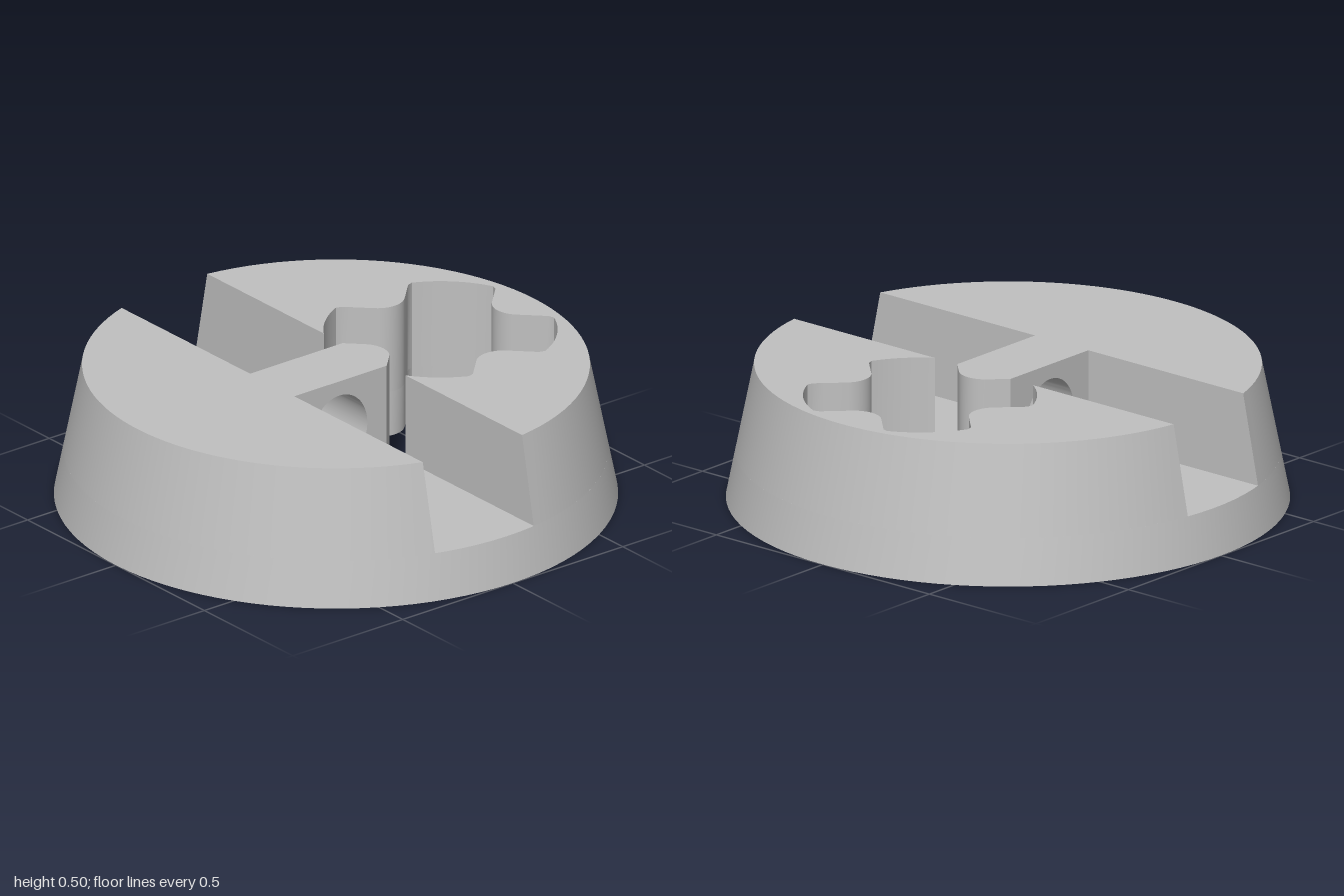
import * as THREE from 'three';
import { toCreasedNormals } from 'three/addons/utils/BufferGeometryUtils.js';

const HEIGHT = 0.5, FLOOR = 0.17;          // top face and slot floor
const SLOT_BACK = -0.13, SLOT_FRONT = 0.29; // slot walls in z
const BRIDGE = 0.125;                       // half width of the wall between slots
const CROSS_Z = -0.475, CROSS_R = 0.415;    // cross-shaped hole
const rimRadius = (y) => 1 - 0.2 * y;

// Arc in plan, the angle running from +z towards +x
function arc(r, a0, a1, n, cz = 0) {
  const pts = [];
  for (let i = 0; i <= n; i++) {
    const a = a0 + (a1 - a0) * i / n;
    pts.push([r * Math.sin(a), cz + r * Math.cos(a)]);
  }
  return pts;
}

// Rounded 45 degree tooth pointing into the cross hole, turned k quarter turns
function tooth(k, tails = true) {
  const r = 0.0966, a = k * Math.PI / 2, c = Math.cos(a), s = Math.sin(a);
  let pts = [[-BRIDGE, 0.345]];
  for (let i = 0; i <= 12; i++) {
    const t = -Math.PI / 4 + Math.PI / 2 * i / 12;
    pts.push([r * Math.sin(t), 0.26 + r - r * Math.cos(t)]);
  }
  pts.push([BRIDGE, 0.345]);
  if (tails) pts = [[-0.15, 0.37], ...pts, [0.15, 0.37]];
  return pts.map(([x, z]) => [x * c + z * s, CROSS_Z - x * s + z * c]);
}

// Outer arc of the cross between tooth k and the next one
function lobe(k, from = 0.43, to = Math.PI / 2 - 0.43) {
  const a = k * Math.PI / 2;
  return arc(CROSS_R, a + from, a + to, 12, CROSS_Z);
}

// Solid between two heights; outline(y) runs anticlockwise seen from above
function loft(y0, y1, outline, hole = []) {
  const pos = [];
  const put = (...corners) => corners.forEach(([p, y]) => pos.push(p[0], y, p[1]));
  const walls = (low, high) => low.forEach((p, i) => {
    const j = (i + 1) % low.length;
    put([p, y0], [low[j], y0], [high[j], y1]);
    put([p, y0], [high[j], y1], [high[i], y1]);
  });
  const cap = (ring, y, up) => {
    const flat = (pts) => pts.map(([x, z]) => new THREE.Vector2(x, -z));
    const all = [...ring, ...hole];
    const faces = THREE.ShapeUtils.triangulateShape(flat(ring), hole.length ? [flat(hole)] : []);
    for (const [a, b, c] of faces) {
      if (up) put([all[a], y], [all[b], y], [all[c], y]);
      else put([all[a], y], [all[c], y], [all[b], y]);
    }
  };
  const low = outline(y0), high = outline(y1);
  walls(low, high);
  if (hole.length) walls(hole, hole);
  cap(low, y0, false);
  cap(high, y1, true);
  const g = new THREE.BufferGeometry();
  g.setAttribute('position', new THREE.Float32BufferAttribute(pos, 3));
  return toCreasedNormals(g, 0.5);
}

export function createModel() {
  const group = new THREE.Group();
  const grey = new THREE.MeshStandardMaterial({ color: 0xc0c0c0 });
  grey.name = 'grey';
  const add = (name, geometry) => {
    const mesh = new THREE.Mesh(geometry, grey);
    mesh.name = name;
    group.add(mesh);
  };

  // Tapered base disc with the cross hole through it
  const cross = [0, 1, 2, 3].flatMap((k) => [...tooth(k), ...lobe(k)]).reverse();
  add('baseDisc', loft(0, FLOOR,
    (y) => arc(rimRadius(y), 0, Math.PI * 2, 96).slice(0, -1), cross));

  // Front block, in front of the slots
  add('frontBlock', loft(FLOOR, HEIGHT, (y) => {
    const a = Math.acos(SLOT_FRONT / rimRadius(y));
    return arc(rimRadius(y), -a, a, 48);
  }));

  // Back block, wrapped round the cross hole, which breaks into both slots
  const cut = Math.acos((SLOT_BACK - CROSS_Z) / CROSS_R);
  const inner = [
    ...lobe(0, cut), ...tooth(1), ...lobe(1), ...tooth(2), ...lobe(2), ...tooth(3),
    ...lobe(3, 0.43, Math.PI / 2 - cut),
  ].reverse();
  add('backBlock', loft(FLOOR, HEIGHT, (y) => {
    const a = Math.acos(SLOT_BACK / rimRadius(y));
    return [...arc(rimRadius(y), a, Math.PI * 2 - a, 48), ...inner];
  }));

  // Rounded nose of the bridge
  const nose = tooth(0, false).reverse();
  add('bridgeNose', loft(FLOOR, HEIGHT, () => nose));

  // Bridge between the slots, pierced by an oval hole cut off at the floor
  const hz = 0.085, hy = 0.305, rz = 0.127, ry = 0.14;
  const t = Math.asin((hy - FLOOR) / ry);
  const side = new THREE.Shape();
  side.moveTo(SLOT_BACK, FLOOR);
  side.lineTo(hz - rz * Math.cos(t), FLOOR);
  side.absellipse(hz, hy, rz, ry, Math.PI + t, -t, true);
  side.lineTo(SLOT_FRONT, FLOOR);
  side.lineTo(SLOT_FRONT, HEIGHT);
  side.lineTo(SLOT_BACK, HEIGHT);
  side.closePath();
  const bridge = new THREE.ExtrudeGeometry(side, { depth: 2 * BRIDGE, bevelEnabled: false, curveSegments: 40 });
  bridge.rotateY(-Math.PI / 2).translate(BRIDGE, 0, 0);
  add('bridge', toCreasedNormals(bridge, 0.5));

  return group;
}
